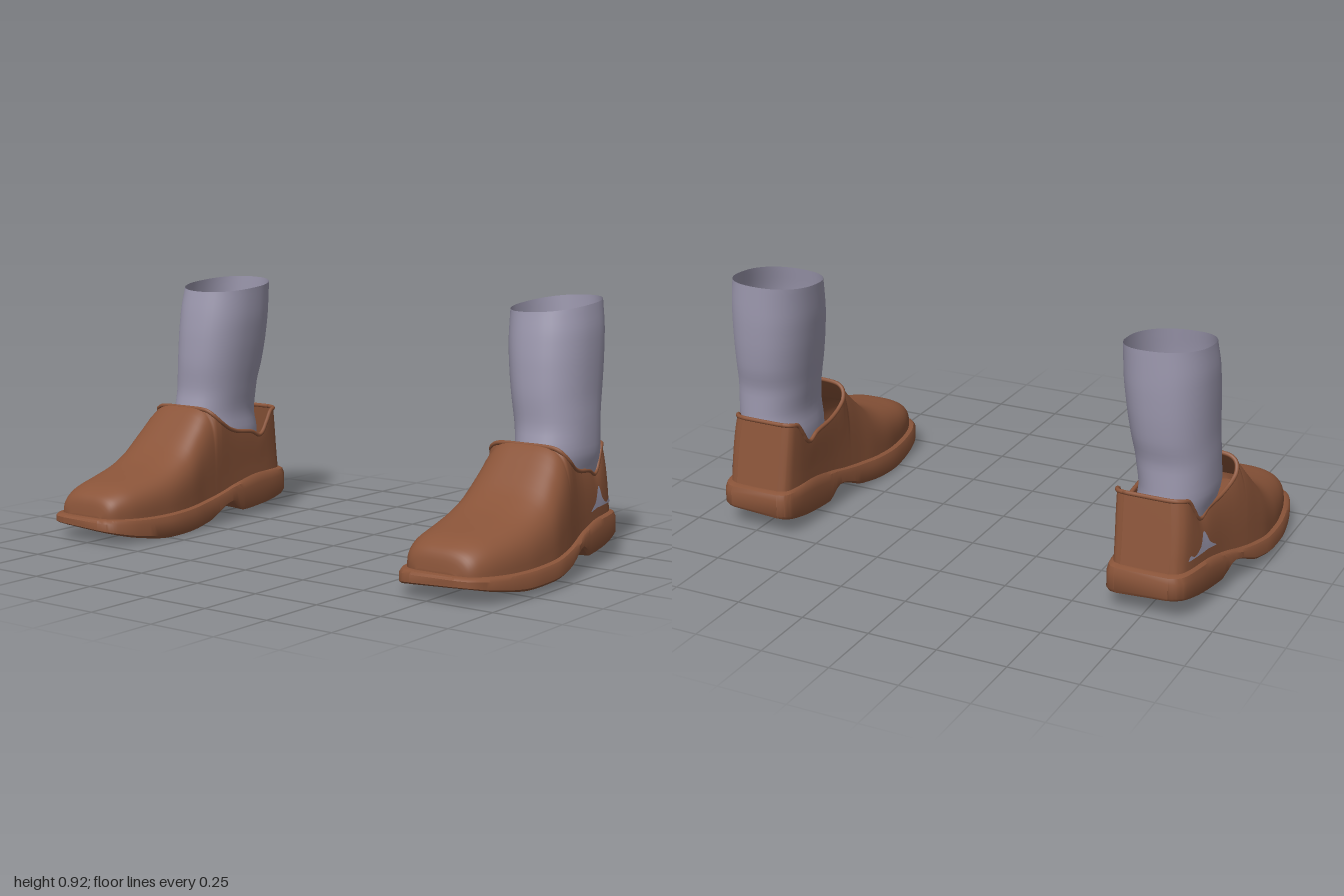
import * as THREE from 'three';
import { mergeVertices, toCreasedNormals } from 'three/addons/utils/BufferGeometryUtils.js';

const brown = new THREE.MeshStandardMaterial({ color: 0x8a5439, side: THREE.DoubleSide });
brown.name = 'brown leather';
const grey = new THREE.MeshStandardMaterial({ color: 0x9d99af, side: THREE.DoubleSide });
grey.name = 'grey sock';

// Smooth monotone interpolation through [position, value] rows
function curve(rows) {
  const p = [...rows].sort((a, b) => a[0] - b[0]);
  const d = p.slice(1).map((q, i) => (q[1] - p[i][1]) / (q[0] - p[i][0]));
  const m = p.map((_, i) => {
    if (i === 0) return d[0];
    if (i === d.length) return d[i - 1];
    return d[i - 1] * d[i] <= 0 ? 0 : 2 * d[i - 1] * d[i] / (d[i - 1] + d[i]);
  });
  return (x) => {
    x = Math.min(Math.max(x, p[0][0]), p[p.length - 1][0]);
    let i = 0;
    while (i < d.length - 1 && x > p[i + 1][0]) i++;
    const h = p[i + 1][0] - p[i][0], t = (x - p[i][0]) / h, t2 = t * t, t3 = t2 * t;
    return p[i][1] * (2 * t3 - 3 * t2 + 1) + h * m[i] * (t3 - 2 * t2 + t)
      + p[i + 1][1] * (3 * t2 - 2 * t3) + h * m[i + 1] * (t3 - t2);
  };
}

// Sole outline, heights and upper profile, all along z
const xIn = curve([[0.51, 0.69], [0.5, 0.652], [0.47, 0.622], [0.4, 0.592], [0.3, 0.574], [0.2, 0.565], [0.1, 0.57],
  [0, 0.584], [-0.2, 0.6], [-0.4, 0.604], [-0.47, 0.612], [-0.5, 0.628], [-0.51, 0.655]]);
const xOut = curve([[0.51, 0.86], [0.5, 0.902], [0.47, 0.934], [0.4, 0.964], [0.3, 0.986], [0.2, 0.998], [0.1, 1],
  [0, 0.986], [-0.2, 0.94], [-0.4, 0.91], [-0.47, 0.893], [-0.5, 0.87], [-0.51, 0.845]]);
const soleBottom = curve([[0.51, 0.042], [0.4, 0.018], [0.25, 0], [0.15, 0.002], [0, 0.018], [-0.15, 0.068],
  [-0.225, 0.028], [-0.35, 0.036], [-0.51, 0.062]]);
const soleTop = curve([[0.51, 0.094], [0.3, 0.086], [0.15, 0.09], [0, 0.103], [-0.1, 0.118], [-0.2, 0.14],
  [-0.35, 0.163], [-0.51, 0.165]]);
const upperTop = curve([[0.485, 0.1], [0.48, 0.135], [0.47, 0.16], [0.45, 0.178], [0.4, 0.2], [0.3, 0.223], [0.2, 0.25],
  [0.1, 0.3], [0.05, 0.345], [0, 0.395], [-0.055, 0.442], [-0.07, 0.42], [-0.1, 0.39], [-0.15, 0.36],
  [-0.2, 0.345], [-0.28, 0.335], [-0.33, 0.315], [-0.38, 0.36], [-0.43, 0.405], [-0.485, 0.412]]);
// How far each cross-section arch closes (degrees), and how square it is
const archEnd = curve([[0.5, 90], [-0.055, 90], [-0.06, 64], [-0.068, 48], [-0.085, 36], [-0.11, 28], [-0.5, 28]]);
const archPower = curve([[0.5, 0.7], [0.2, 0.65], [-0.05, 0.52], [-0.5, 0.5]]);
const heelLean = curve([[-0.36, 0], [-0.485, 0.04]]);

const INSET = 0.95;
const stations = [-0.055, -0.06, -0.066, -0.075, -0.085, -0.1, -0.1425, -0.2138];
for (let k = 0; k <= 64; k++) stations.push(0.485 * Math.cos(Math.PI * k / 64));
stations.sort((a, b) => b - a);

// Closed loop of outline points: outer edge toe to heel, inner edge heel to toe
const outline = [
  ...stations.map((u) => ({ x: xOut(u / INSET), z: u / INSET })),
  ...[...stations].reverse().map((u) => ({ x: xIn(u / INSET), z: u / INSET })),
];
const middle = (z) => (xIn(z) + xOut(z)) / 2;

// Skin over layers of closed loops; side -1 mirrors in x
function skin(layers, side) {
  const n = layers[0].length, pos = [], idx = [];
  layers.forEach((l) => l.forEach(([x, y, z]) => pos.push(x * side, y, z)));
  for (let j = 0; j < layers.length - 1; j++) for (let i = 0; i < n; i++) {
    const a = j * n + i, b = j * n + (i + 1) % n, c = b + n, e = a + n;
    if (side > 0) idx.push(a, b, c, a, c, e);
    else idx.push(a, c, b, a, e, c);
  }
  const g = new THREE.BufferGeometry();
  g.setAttribute('position', new THREE.Float32BufferAttribute(pos, 3));
  g.setIndex(idx);
  const merged = mergeVertices(g, 1e-5);
  merged.computeVertexNormals();
  return merged;
}

// Sole with raised heel: [width scale, inset, height fraction] per layer
function soleGeometry(side) {
  const profile = [[0, 0.008, 0], [0.5, 0.008, 0], [1, 0.008, 0], [1, 0, 0.14], [1, 0, 0.72], [1, 0.007, 0.93],
    [1, 0.02, 1], [0, 0.02, 1]];
  const layers = profile.map(([w, inset, t]) => outline.map((p) => {
    const c = middle(p.z), x = c + (p.x - c) * w * (1 - inset / 0.2);
    const low = soleBottom(p.z) + (x - 0.565) * 0.055;
    return [x, low + (soleTop(p.z) - low) * t, p.z * (1 - inset / 0.5)];
  }));
  return toCreasedNormals(skin(layers, side), 0.7);
}

// Point on the upper: v runs from the sole edge to the rim or centre line
function upperPoint(p, v) {
  const u = p.z * INSET, end = archEnd(u) * Math.PI / 180, q = archPower(u);
  const base = soleTop(p.z) - 0.006, a = end * v, c = middle(p.z) - 0.012 * v;
  const rise = Math.pow(Math.sin(a) / Math.sin(end), q);
  const spread = v === 1 && end > 1.57 ? 0 : Math.pow(Math.max(Math.cos(a), 0), q);
  return [c + (p.x - middle(p.z)) * 0.9 * spread, base + (upperTop(u) - base) * rise, u + heelLean(-Math.abs(Math.min(u, 0))) * rise];
}
function heelSafe(p, v) {
  const r = upperPoint(p, v);
  if (p.z > -0.37) r[2] = p.z * INSET;
  return r;
}

function upperGeometry(side) {
  const rows = 22, layers = [];
  for (let j = 0; j <= rows; j++) layers.push(outline.map((p) => heelSafe(p, j / rows)));
  return skin(layers, side);
}

// Rolled edge around the opening
function rimGeometry(side) {
  const pts = outline.filter((p) => p.z * INSET <= -0.0549).map((p) => heelSafe(p, 1));
  pts.pop();
  const path = new THREE.CatmullRomCurve3(pts.map(([x, y, z]) => new THREE.Vector3(x * side, y - 0.004, z)), true);
  return new THREE.TubeGeometry(path, 160, 0.008, 8, true);
}

// Sock tube: [y, inner x, outer x, front z, back z]
const sockRings = [
  [0.17, 0.66, 0.87, -0.1, -0.43], [0.25, 0.648, 0.88, -0.085, -0.435], [0.33, 0.645, 0.893, -0.08, -0.435],
  [0.4, 0.652, 0.908, -0.08, -0.428], [0.5, 0.64, 0.906, -0.094, -0.428], [0.6, 0.624, 0.902, -0.09, -0.448],
  [0.7, 0.61, 0.902, -0.094, -0.46], [0.8, 0.601, 0.9, -0.104, -0.466], [0.9, 0.599, 0.888, -0.12, -0.467],
];
function sockGeometry(side) {
  const cols = [1, 2, 3, 4].map((k) => curve(sockRings.map((r) => [r[0], r[k]])));
  const layers = [];
  for (let j = 0; j <= 32; j++) {
    const y = 0.17 + 0.73 * j / 32, [x0, x1, z0, z1] = cols.map((f) => f(y)), ring = [];
    for (let i = 0; i < 40; i++) {
      const a = i / 40 * Math.PI * 2, c = Math.cos(a), s = Math.sin(a);
      const x = (x0 + x1) / 2 + (x1 - x0) / 2 * Math.sign(c) * Math.pow(Math.abs(c), 0.88);
      const z = (z0 + z1) / 2 - (z0 - z1) / 2 * Math.sign(s) * Math.pow(Math.abs(s), 0.88);
      // slanted top edge
      const slant = Math.max(0, (y - 0.7) / 0.2) * (0.019 * s + 0.006 * c);
      ring.push([x, y + slant, z]);
    }
    layers.push(ring);
  }
  return skin(layers, side);
}

// Sock showing through the outer side of the shoe, laid on the wall
const gapTop = curve([[-0.255, 0.193], [-0.3, 0.222], [-0.32, 0.255], [-0.335, 0.272], [-0.36, 0.225], [-0.4, 0.205],
  [-0.425, 0.216], [-0.437, 0.2]]);
function gapGeometry(side) {
  const pos = [], idx = [], n = 26;
  const wall = (z, y) => {
    const p = { x: xOut(z / INSET), z: z / INSET };
    let v = 0;
    while (v < 1 && heelSafe(p, v)[1] < y) v += 0.005;
    return heelSafe(p, v)[0];
  };
  for (let i = 0; i <= n; i++) {
    const z = -0.255 - 0.182 * i / n, low = 0.191 + 0.008 * Math.min(1, i / 8), top = Math.max(gapTop(z), low);
    for (let j = 0; j <= 4; j++) {
      const y = low + (top - low) * j / 4;
      pos.push((wall(z, y) + 0.004) * side, y, z);
      if (i < n && j < 4) {
        const a = i * 5 + j, b = a + 5;
        if (side > 0) idx.push(a, b, b + 1, a, b + 1, a + 1);
        else idx.push(a, b + 1, b, a, a + 1, b + 1);
      }
    }
  }
  const g = new THREE.BufferGeometry();
  g.setAttribute('position', new THREE.Float32BufferAttribute(pos, 3));
  g.setIndex(idx);
  g.computeVertexNormals();
  return g;
}

export function createModel() {
  const model = new THREE.Group();
  model.name = 'shoes and socks';
  for (const [side, label] of [[1, 'left'], [-1, 'right']]) {
    const foot = new THREE.Group();
    foot.name = label + 'Foot';
    const add = (name, geometry, material) => {
      const mesh = new THREE.Mesh(geometry, material);
      mesh.name = name;
      foot.add(mesh);
    };
    add('sole', soleGeometry(side), brown);
    add('upper', upperGeometry(side), brown);
    add('rim', rimGeometry(side), brown);
    add('sock', sockGeometry(side), grey);
    add('sockGap', gapGeometry(side), grey);
    model.add(foot);
  }
  return model;
}
